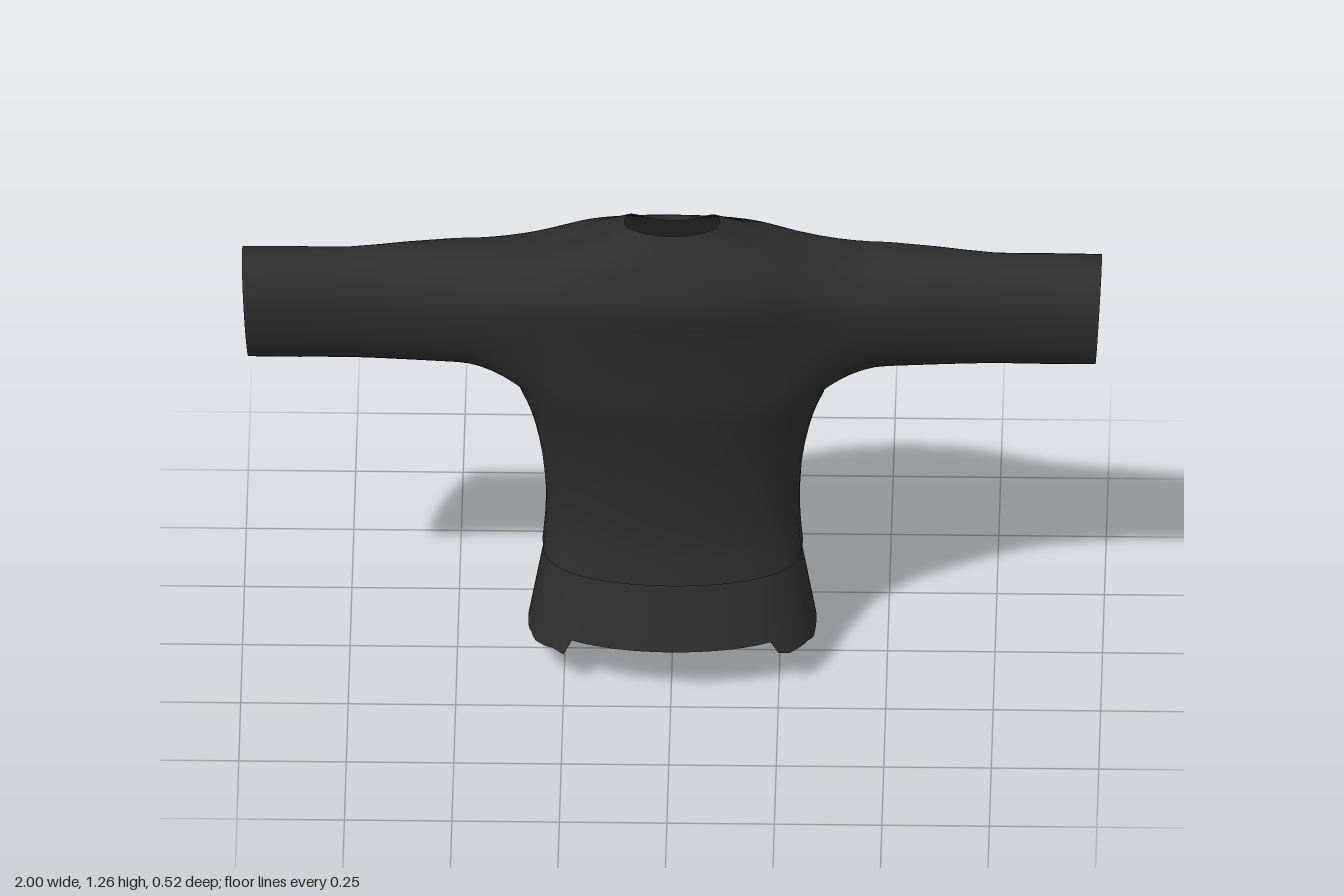
import * as THREE from 'three';

const COLS = 48, SUB = 3, HALF = 6;
const lerp = THREE.MathUtils.lerp;

// Torso rings: height at front, side, back; half width; z at front, side, back
const TORSO = [
  [0.29, 0.29, 0.29, 0.303, 0.175, -0.03, -0.256],
  [0.40, 0.40, 0.40, 0.295, 0.155, -0.05, -0.26],
  [0.55, 0.55, 0.55, 0.305, 0.163, -0.04, -0.262],
  [0.68, 0.68, 0.68, 0.33, 0.187, -0.02, -0.257],
  [0.79, 0.79, 0.79, 0.365, 0.213, 0.02, -0.243],
  [0.89, 0.89, 0.89, 0.385, 0.225, 0.04, -0.222],
  [1.01, 1.00, 0.99, 0.39, 0.245, 0.05, -0.187],
  [1.10, 1.09, 1.07, 0.37, 0.263, 0.055, -0.15],
  [1.18, 1.155, 1.125, 0.31, 0.237, 0.055, -0.12],
  [1.225, 1.195, 1.15, 0.20, 0.217, 0.065, -0.08],
  [1.27, 1.24, 1.165, 0.11, 0.195, 0.08, -0.035],
];
const ARM_LOW = 4 * SUB, ARM_HIGH = 8 * SUB; // rows bounding the armholes

// Sleeve sections: x, top, bottom, front z, back z
const SLEEVE = [
  [0.50, 1.145, 0.837, 0.17, -0.065],
  [0.62, 1.14, 0.84, 0.15, -0.045],
  [0.75, 1.13, 0.845, 0.14, -0.03],
  [0.88, 1.135, 0.85, 0.15, -0.022],
  [1.00, 1.137, 0.857, 0.165, -0.02],
];

// Smooth interpolation through the rows of a table
function sample(table, t) {
  const n = table.length - 1, i = Math.min(Math.floor(t), n - 1), f = t - i;
  const row = k => table[Math.max(0, Math.min(n, k))];
  return table[0].map((_, c) => {
    const [p, q, r, s] = [row(i - 1)[c], row(i)[c], row(i + 1)[c], row(i + 2)[c]];
    return q + 0.5 * f * (r - p + f * (2 * p - 5 * q + 4 * r - s + f * (3 * (q - r) + s - p)));
  });
}

function ringPoint([yf, ys, yb, w, zf, zs, zb], a) {
  const c = Math.cos(a);
  return c > 0
    ? [w * Math.sin(a), lerp(ys, yf, c * (2 - c)), lerp(zs, zf, Math.pow(c, 0.65))]
    : [w * Math.sin(a), lerp(ys, yb, c * c), lerp(zs, zb, -c)];
}

// Teardrop sleeve section, narrower at the underside
function sleevePoint([x, top, bottom, zf, zb], angle) {
  const s = Math.sin(angle);
  return [
    x - 0.015 * (1 - s) / 2 * Math.max(0, (x - 0.5) * 2),
    (top + bottom) / 2 + (top - bottom) / 2 * s,
    (zf + zb) / 2 + (zf - zb) / 2 * Math.cos(angle) * (1 + 0.22 * s),
  ];
}

function quad(index, a, b, c, d) {
  index.push(a, b, c, a, c, d);
}

function makeGeometry(positions, index) {
  const g = new THREE.BufferGeometry();
  g.setAttribute('position', new THREE.Float32BufferAttribute(positions, 3));
  g.setIndex(index);
  g.computeVertexNormals();
  return g;
}

export function createModel() {
  const group = new THREE.Group();
  const fabric = new THREE.MeshStandardMaterial({ color: 0x2d2d2d, side: THREE.DoubleSide });
  fabric.name = 'charcoal fabric';
  const add = (geometry, name) => {
    const mesh = new THREE.Mesh(geometry, fabric);
    mesh.name = name;
    group.add(mesh);
  };

  // Torso grid, leaving an armhole open on each side
  const positions = [], torso = [];
  const rows = (TORSO.length - 1) * SUB;
  const id = (j, k) => k * COLS + ((j + COLS) % COLS);
  for (let k = 0; k <= rows; k++) {
    const ring = sample(TORSO, k / SUB);
    for (let j = 0; j < COLS; j++) positions.push(...ringPoint(ring, j / COLS * Math.PI * 2));
  }
  for (let k = 0; k < rows; k++) for (let j = 0; j < COLS; j++) {
    const fromSide = Math.abs((j + 0.5) % (COLS / 2) - COLS / 4);
    if (k >= ARM_LOW && k < ARM_HIGH && fromSide < HALF) continue;
    quad(torso, id(j, k), id(j + 1, k), id(j + 1, k + 1), id(j, k + 1));
  }

  // Sleeves grow from the armhole edge into a teardrop tube
  const sleeve = side => {
    const mid = side > 0 ? COLS / 4 : COLS * 3 / 4, index = [], edge = [];
    for (let j = -HALF; j < HALF; j++) edge.push([j, ARM_LOW]);
    for (let k = ARM_LOW; k < ARM_HIGH; k++) edge.push([HALF, k]);
    for (let j = HALF; j > -HALF; j--) edge.push([j, ARM_HIGH]);
    for (let k = ARM_HIGH; k > ARM_LOW; k--) edge.push([-HALF, k]);
    const angles = edge.map(([j, k]) =>
      Math.atan2((k - ARM_LOW) / (ARM_HIGH - ARM_LOW) * 2 - 1, -side * j / HALF));
    const first = edge.map(([j, k]) => id(mid + j, k));
    let previous = first;
    const addRing = pointAt => {
      const ring = edge.map((_, i) => {
        const [x, y, z] = pointAt(i);
        positions.push(side * x, y, z);
        return positions.length / 3 - 1;
      });
      ring.forEach((_, i) => {
        const n = (i + 1) % ring.length;
        quad(index, previous[i], previous[n], ring[n], ring[i]);
      });
      previous = ring;
    };
    for (let s = 1; s <= 6; s++) {
      const t = s / 6;
      addRing(i => {
        const p = first[i] * 3, end = sleevePoint(SLEEVE[0], angles[i]);
        return [
          lerp(Math.abs(positions[p]), end[0], t),
          lerp(positions[p + 1], end[1], 1 - (1 - t) ** 2),
          lerp(positions[p + 2], end[2], 1 - (1 - t) ** 1.3),
        ];
      });
    }
    for (let s = 1; s <= 8; s++) {
      const section = sample(SLEEVE, s / 2);
      addRing(i => sleevePoint(section, angles[i]));
    }
    return index;
  };
  const leftSleeve = sleeve(1), rightSleeve = sleeve(-1);

  // Shared normals keep the shoulders smooth where the parts meet
  const whole = makeGeometry(positions, [...torso, ...leftSleeve, ...rightSleeve]);
  const part = (index, name) => {
    const g = new THREE.BufferGeometry();
    g.setAttribute('position', whole.attributes.position);
    g.setAttribute('normal', whole.attributes.normal);
    g.setIndex(index);
    add(g, name);
  };
  part(torso, 'torso');
  part(leftSleeve, 'leftSleeve');
  part(rightSleeve, 'rightSleeve');

  // Flared hem with a ragged edge, short in front and long behind
  const hemPoints = [], hem = [], n = 96, steps = 5;
  const hemBottom = a => {
    const c = Math.cos(a);
    if (c > 0.68) return 0.137;
    const rag = 0.005 * Math.sin(a * 17) + 0.003 * Math.sin(a * 31);
    if (c > -0.5) return 0.09 + 0.02 * c + rag * 0.5;
    return 0.08 - 0.075 * ((-c - 0.5) / 0.5) ** 2 + rag * (1 + c) * 2;
  };
  for (let k = 0; k <= steps; k++) for (let j = 0; j < n; j++) {
    const a = j / n * Math.PI * 2;
    const y = lerp(hemBottom(a), 0.292, k / steps), d = 0.292 - y;
    const ring = [y, y, y, 0.297 + 0.19 * d, 0.17 + 0.33 * d, -0.03 + 0.1 * d, -0.254 - 0.03 * d + 0.62 * d * d];
    hemPoints.push(...ringPoint(ring, a));
  }
  for (let k = 0; k < steps; k++) for (let j = 0; j < n; j++) {
    const m = (j + 1) % n;
    quad(hem, k * n + j, k * n + m, (k + 1) * n + m, (k + 1) * n + j);
  }
  add(makeGeometry(hemPoints, hem), 'hem');

  return group;
}
